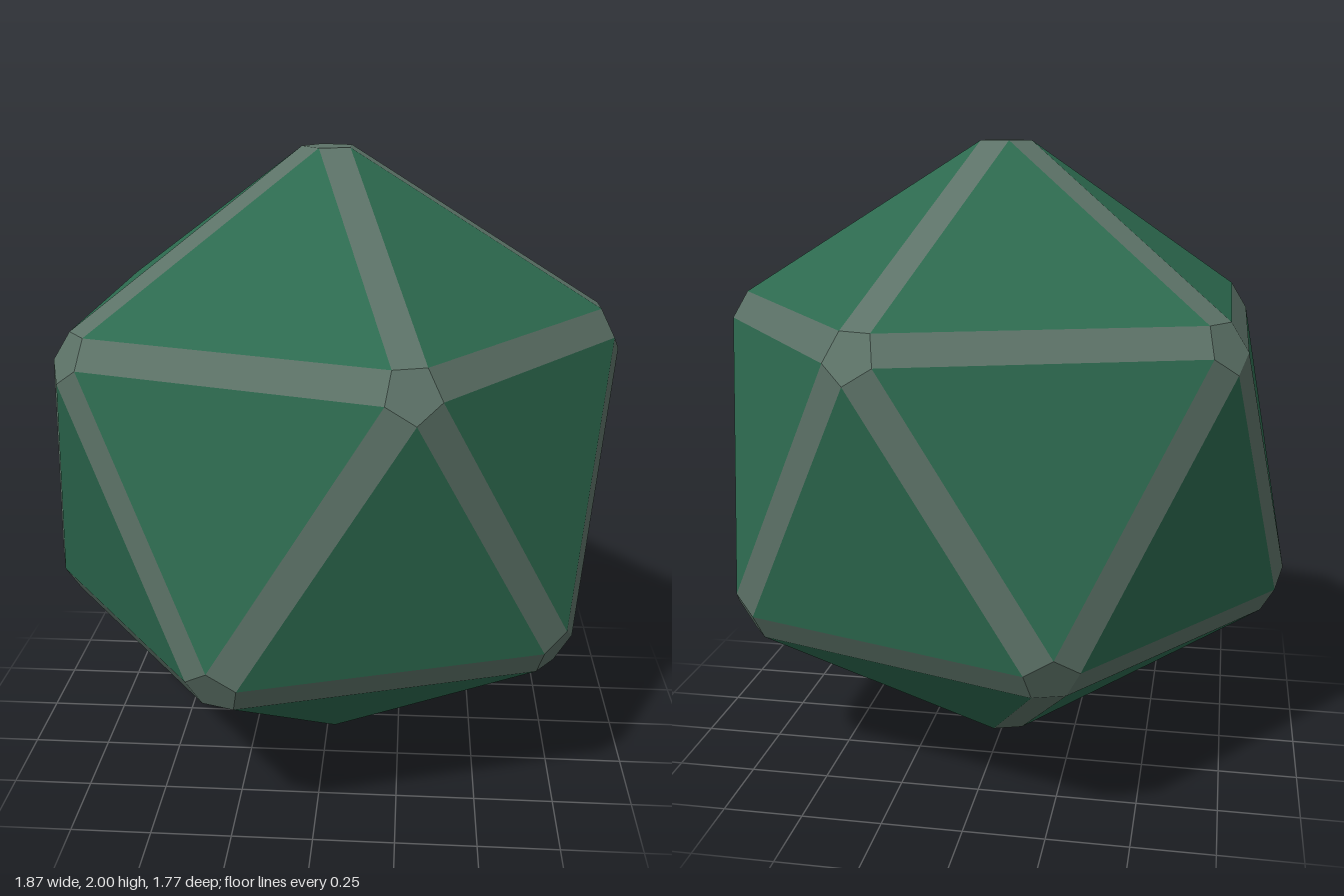
import * as THREE from 'three';

const R = 1.065;      // circumradius before bevelling
const SHRINK = 0.8346; // size of each flat face relative to the sharp one

// Flat convex polygons, each sorted counter-clockwise as seen from outside
function panels(name, polygons, color) {
  const positions = [];
  for (const points of polygons) {
    const c = new THREE.Vector3();
    points.forEach(p => c.add(p));
    c.divideScalar(points.length);
    const n = c.clone().normalize();
    const u = points[0].clone().sub(c).projectOnPlane(n).normalize();
    const v = n.clone().cross(u);
    const angle = p => {
      const d = p.clone().sub(c);
      return Math.atan2(d.dot(v), d.dot(u));
    };
    const loop = [...points].sort((a, b) => angle(a) - angle(b));
    for (let i = 1; i < loop.length - 1; i++) {
      for (const p of [loop[0], loop[i], loop[i + 1]]) positions.push(p.x, p.y, p.z);
    }
  }
  const geometry = new THREE.BufferGeometry();
  geometry.setAttribute('position', new THREE.Float32BufferAttribute(positions, 3));
  geometry.computeVertexNormals();
  const mesh = new THREE.Mesh(geometry, new THREE.MeshStandardMaterial({ color, flatShading: true }));
  mesh.name = name;
  return mesh;
}

export function createModel() {
  // Icosahedron corners: top, upper ring (1-5), lower ring (6-10), bottom
  const ring = (sign, turn) => Array.from({ length: 5 }, (_, i) => {
    const a = (i + turn) * Math.PI * 2 / 5;
    const r = R * 2 / Math.sqrt(5);
    return new THREE.Vector3(Math.cos(a) * r, sign * R / Math.sqrt(5), Math.sin(a) * r);
  });
  const corners = [new THREE.Vector3(0, R, 0), ...ring(1, 0), ...ring(-1, 0.5), new THREE.Vector3(0, -R, 0)];

  const triangles = [];
  for (let i = 0; i < 5; i++) {
    const j = (i + 1) % 5;
    const u0 = 1 + i, u1 = 1 + j, l0 = 6 + i, l1 = 6 + j;
    triangles.push([0, u0, u1], [u0, u1, l0], [l0, l1, u1], [11, l0, l1]);
  }

  // Shrink each triangle in its plane, collecting points for edge and corner bevels
  const faces = [], edges = {}, caps = corners.map(() => []);
  for (const t of triangles) {
    const centre = new THREE.Vector3();
    t.forEach(k => centre.addScaledVector(corners[k], 1 / 3));
    const pts = t.map(k => centre.clone().lerp(corners[k], SHRINK));
    faces.push(pts);
    t.forEach((k, i) => {
      const m = (i + 1) % 3;
      const key = [k, t[m]].sort((a, b) => a - b).join('-');
      (edges[key] ??= []).push(pts[i], pts[m]);
      caps[k].push(pts[i]);
    });
  }

  const model = new THREE.Group();
  model.name = 'bevelledIcosahedron';
  model.add(
    panels('faces', faces, 0x2d6a4f),
    panels('edgeBevels', Object.values(edges), 0x5c7267),
    panels('cornerCaps', caps, 0x5c7267),
  );
  model.children.forEach(part => { part.position.y = 1; });
  return model;
}
